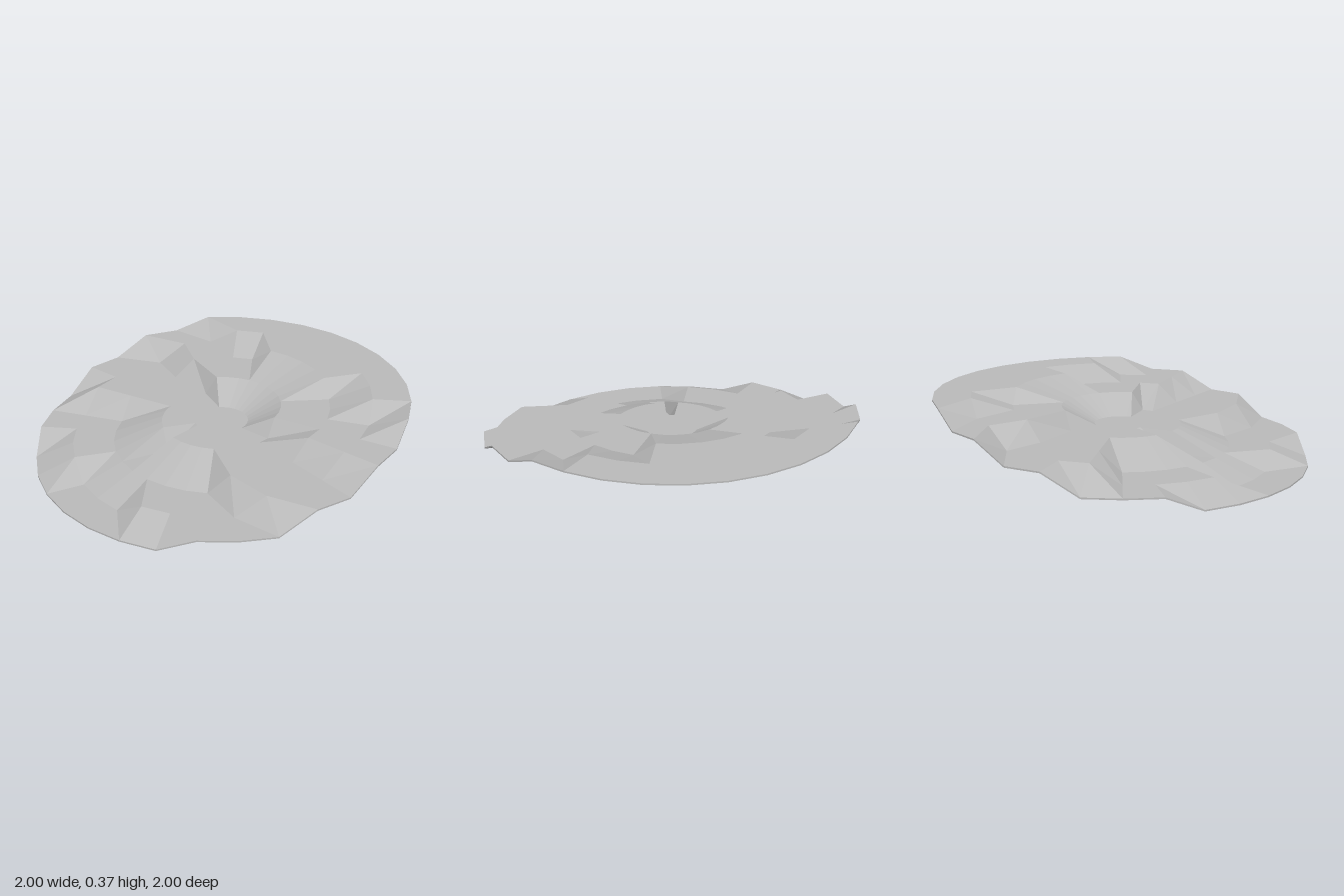
import * as THREE from 'three';

const SIDES = 32;
const THICK = 0.008;
const LEVELS = [0.008, 0.088, 0.195, 0.293, 0.367];

// Each ring: radius and, for the +x and -x halves, the last step (0 = back,
// 16 = front) that stays on terrace 4, 3, 2 and 1.
const RINGS = [
  { r: 0.144, right: [-1, -1, 16, 16], left: [-1, -1, 16, 16] },
  { r: 0.32, right: [-1, 6, 16, 16], left: [-1, 5, 14, 15] },
  { r: 0.58, right: [2, 7, 11, 16], left: [2, 6, 10, 16] },
  { r: 0.8, right: [4, 7, 10, 14], left: [4, 6, 10, 14] },
  { r: 1.0, right: [5, 7, 9, 12], left: [5, 7, 9, 12] },
];

function point(ring, j, drop) {
  const i = j % SIDES;
  const a = (i / SIDES) * Math.PI * 2;
  const step = Math.min(i, SIDES - i);
  const ends = i <= SIDES / 2 ? ring.right : ring.left;
  const n = ends.findIndex((end) => step <= end);
  const level = n < 0 ? 0 : 4 - n;
  return [ring.r * Math.sin(a), LEVELS[level] - drop, -ring.r * Math.cos(a)];
}

// Flat-faceted geometry from a list of triangles
function facets(triangles, flip = false) {
  const list = flip ? triangles.map(([a, b, c]) => [a, c, b]) : triangles;
  const g = new THREE.BufferGeometry();
  g.setAttribute('position', new THREE.Float32BufferAttribute(list.flat(2), 3));
  g.computeVertexNormals();
  return g;
}

// Terraced sheet: a flat hub surrounded by ring bands
function sheet(drop) {
  const t = [];
  const hub = [0, LEVELS[2] - drop, 0];
  for (let j = 0; j < SIDES; j++) {
    t.push([hub, point(RINGS[0], j + 1, drop), point(RINGS[0], j, drop)]);
    for (let k = 0; k + 1 < RINGS.length; k++) {
      const a = point(RINGS[k], j, drop), b = point(RINGS[k], j + 1, drop);
      const c = point(RINGS[k + 1], j, drop), d = point(RINGS[k + 1], j + 1, drop);
      t.push([a, b, c], [b, d, c]);
    }
  }
  return t;
}

// Thin band closing the outer edge
function edge() {
  const t = [];
  const ring = RINGS[RINGS.length - 1];
  for (let j = 0; j < SIDES; j++) {
    const a = point(ring, j, 0), b = point(ring, j + 1, 0);
    const c = point(ring, j, THICK), d = point(ring, j + 1, THICK);
    t.push([a, b, c], [b, d, c]);
  }
  return t;
}

export function createModel() {
  const group = new THREE.Group();
  group.name = 'terracedDisc';
  const grey = new THREE.MeshStandardMaterial({ color: 0xbababa });
  grey.name = 'lightGrey';

  const add = (name, geometry) => {
    const mesh = new THREE.Mesh(geometry, grey);
    mesh.name = name;
    group.add(mesh);
  };
  add('topSurface', facets(sheet(0)));
  add('underside', facets(sheet(THICK), true));
  add('rim', facets(edge()));
  return group;
}
